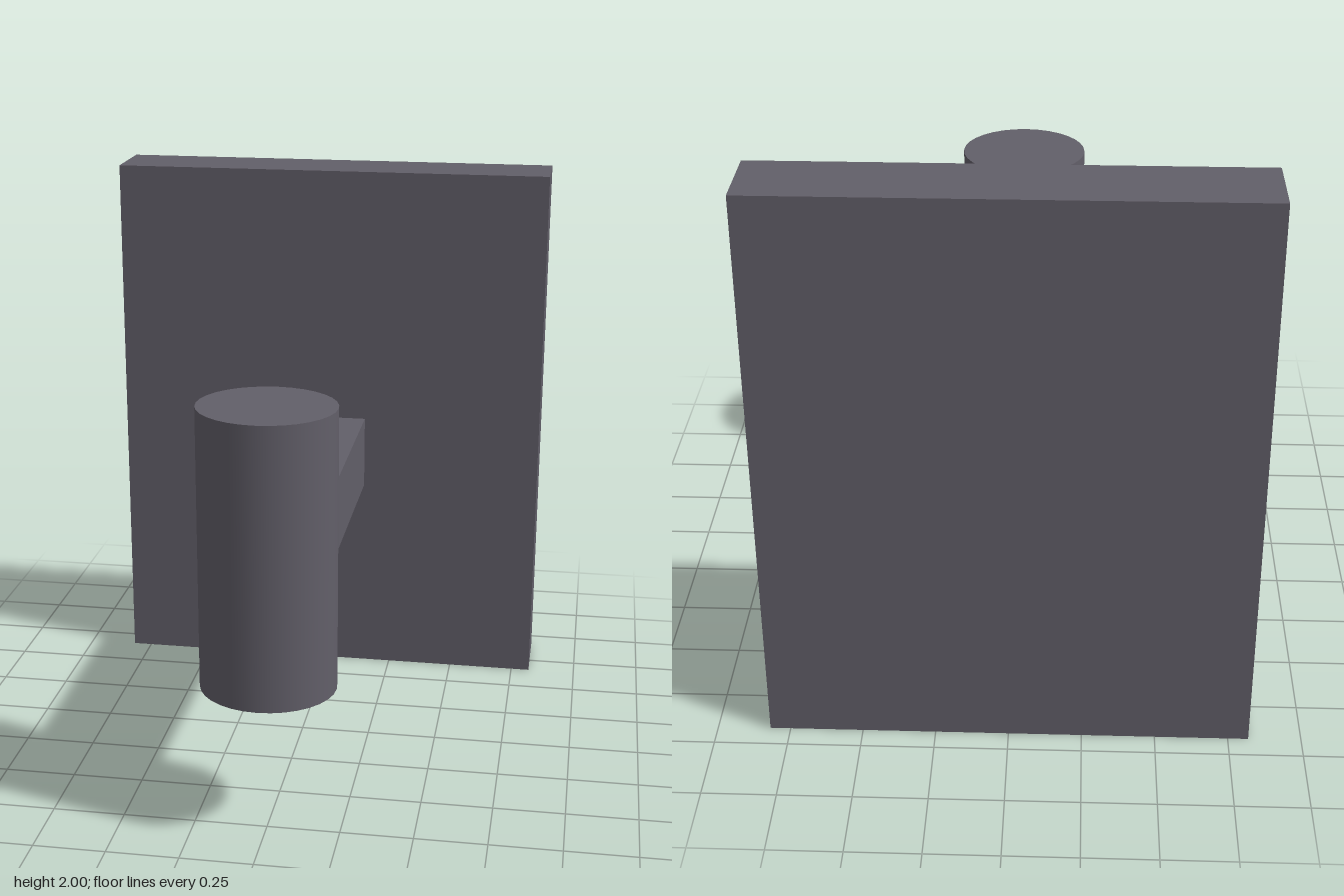
import * as THREE from 'three';

export function createModel() {
  const group = new THREE.Group();
  const material = new THREE.MeshStandardMaterial({ color: 0x625f69 });

  const add = (name, geometry, x, y, z) => {
    const mesh = new THREE.Mesh(geometry, material);
    mesh.name = name;
    mesh.position.set(x, y, z);
    group.add(mesh);
    return mesh;
  };

  // Upright rectangular plate at the back
  add('backPlate', new THREE.BoxGeometry(1.64, 2, 0.263), 0, 1, -0.788);

  // Square arm, its front end sunk into the cylinder
  add('arm', new THREE.BoxGeometry(0.28, 0.275, 1.257), 0, 0.893, -0.0285);

  // Upright cylinder, slightly flattened front to back
  const knob = add('knob', new THREE.CylinderGeometry(0.23, 0.23, 0.97, 32), 0, 0.995, 0.702);
  knob.scale.z = 0.945;

  return group;
}
